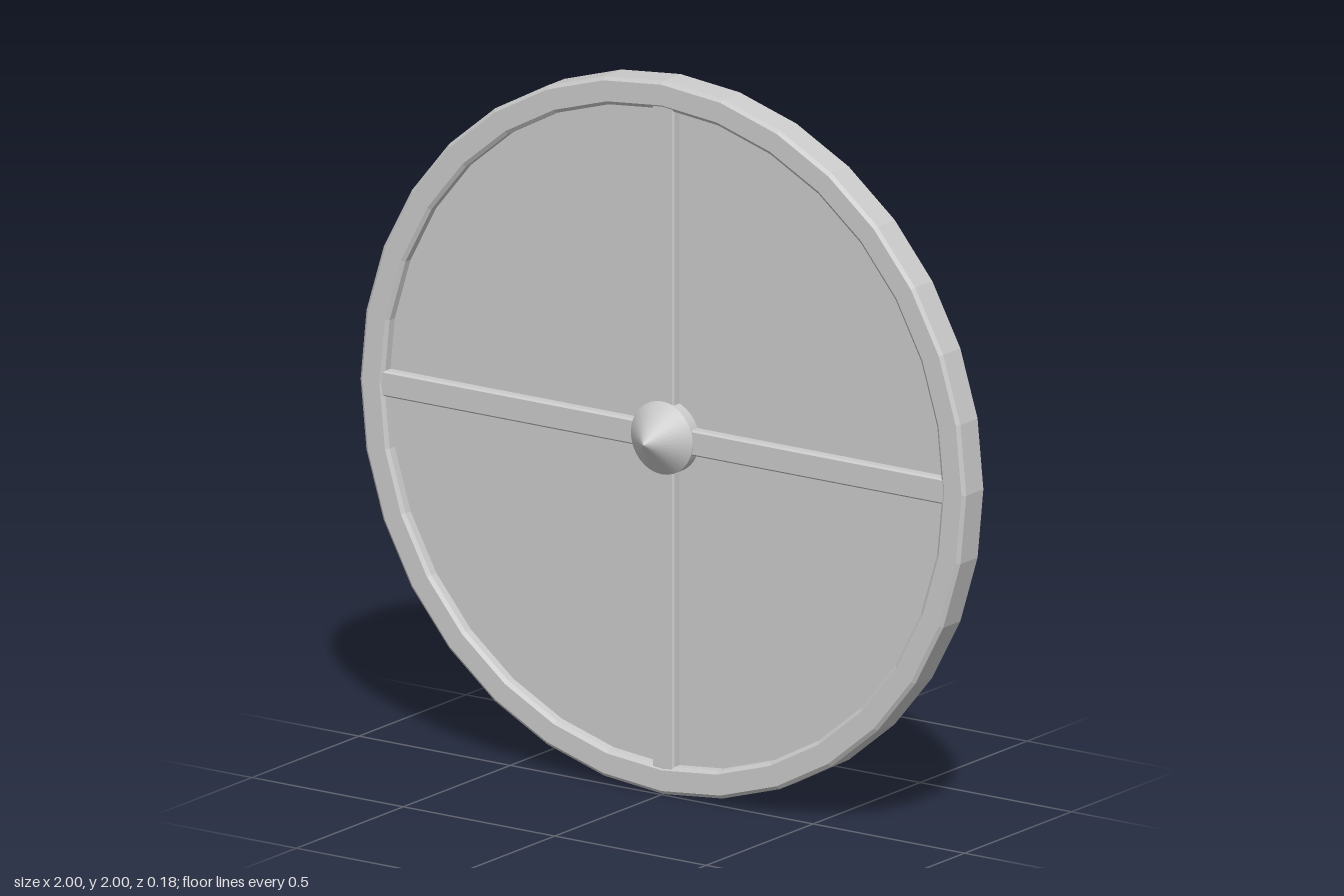
import * as THREE from 'three';

const SIDES = 32;
const BACK = -0.088, PANEL = -0.032;

// Turn a [radius, z] profile around the z axis
function turned(points, segments) {
  const profile = points.map(([r, z]) => new THREE.Vector2(r, z));
  return new THREE.LatheGeometry(profile, segments).rotateX(Math.PI / 2);
}

export function createModel() {
  const group = new THREE.Group();
  const flat = new THREE.MeshStandardMaterial({ color: 0xcccccc, flatShading: true });
  const smooth = new THREE.MeshStandardMaterial({ color: 0xcccccc });

  const add = (name, geometry, material) => {
    const mesh = new THREE.Mesh(geometry, material);
    mesh.name = name;
    mesh.position.y = 1;
    group.add(mesh);
    return mesh;
  };

  // Flat back, faceted edge and chamfered raised rim
  add('rim', turned([
    [0, BACK], [1, BACK], [1, -0.008], [0.99, 0], [0.932, 0], [0.922, -0.008], [0.922, PANEL],
  ], SIDES), flat);

  // Recessed face inside the rim
  add('panel', turned([[0.922, PANEL], [0, PANEL]], SIDES), flat);

  // Crossed bars with chamfered front edges
  const section = new THREE.Shape([
    [-0.036, PANEL - 0.005], [0.036, PANEL - 0.005], [0.036, -0.009],
    [0.031, -0.003], [-0.031, -0.003], [-0.036, -0.009],
  ].map(([x, y]) => new THREE.Vector2(x, y)));
  const length = 1.856;
  const bar = new THREE.ExtrudeGeometry(section, { depth: length, bevelEnabled: false });
  bar.translate(0, 0, -length / 2).rotateX(Math.PI / 2).rotateY(Math.PI);
  // Keep the chamfered side towards the front
  bar.computeBoundingBox();
  if (bar.boundingBox.max.z > 0) bar.rotateY(Math.PI);
  add('verticalBar', bar, flat);
  add('horizontalBar', bar, flat).rotation.z = Math.PI / 2;

  // Central boss: short collar and pointed cone
  add('bossCollar', turned([[0.102, PANEL], [0.102, 0]], SIDES), smooth);
  add('bossCone', turned([[0.102, 0], [0, 0.088]], SIDES), smooth);

  return group;
}
